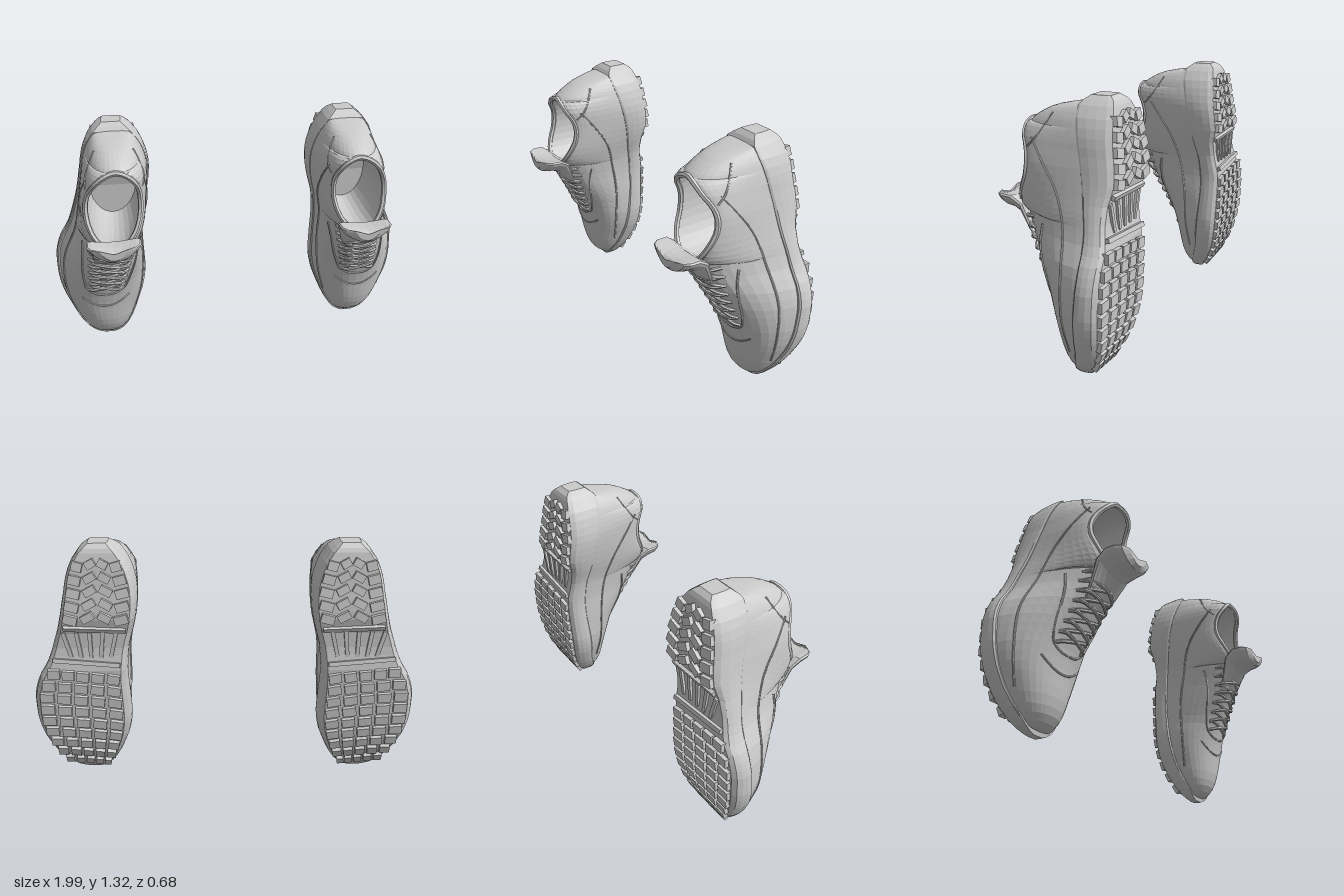
import * as THREE from 'three';
import { mergeGeometries } from 'three/addons/utils/BufferGeometryUtils.js';

const mat = new THREE.MeshStandardMaterial({ color: 0xcccccc, flatShading: true });
const thinMat = new THREE.MeshStandardMaterial({ color: 0xcccccc, flatShading: true, side: THREE.DoubleSide });
const V = (x, y, z) => new THREE.Vector3(x, y, z);
const lerp = THREE.MathUtils.lerp;

// Smooth, non-overshooting interpolation through [key, value] pairs
function table(...p) {
  const d = p.slice(1).map((q, i) => (q[1] - p[i][1]) / (q[0] - p[i][0]));
  const m = p.map((_, i) => {
    const a = d[Math.max(i - 1, 0)], b = d[Math.min(i, d.length - 1)];
    return a * b <= 0 ? 0 : (2 * a * b) / (a + b);
  });
  return (y) => {
    if (y <= p[0][0]) return p[0][1];
    let i = 0;
    while (i < d.length - 1 && y > p[i + 1][0]) i++;
    const h = p[i + 1][0] - p[i][0], t = Math.min((y - p[i][0]) / h, 1), u = 1 - t;
    return p[i][1] * (1 + 2 * t) * u * u + m[i] * h * t * u * u
      + p[i + 1][1] * t * t * (3 - 2 * t) - m[i + 1] * h * t * t * u;
  };
}

// Skin through rings of points
function loft(rings, closed = true, capStart = closed, capEnd = closed) {
  const n = rings[0].length, pos = rings.flat(), idx = [], m = closed ? n : n - 1;
  for (let i = 0; i < rings.length - 1; i++) for (let j = 0; j < m; j++) {
    const a = i * n + j, b = i * n + (j + 1) % n;
    idx.push(a, a + n, b, b, a + n, b + n);
  }
  const cap = (start, flip) => {
    const c = V(0, 0, 0);
    for (let j = 0; j < n; j++) c.addScaledVector(pos[start + j], 1 / n);
    const k = pos.push(c) - 1;
    for (let j = 0; j < n; j++) {
      const a = start + j, b = start + (j + 1) % n;
      idx.push(k, flip ? b : a, flip ? a : b);
    }
  };
  if (capStart) cap(0, false);
  if (capEnd) cap((rings.length - 1) * n, true);
  const g = new THREE.BufferGeometry().setFromPoints(pos);
  g.setIndex(idx);
  g.computeVertexNormals();
  return g;
}

const tube = (pts, r, closed = false, seg = 24) =>
  new THREE.TubeGeometry(new THREE.CatmullRomCurve3(pts, closed), seg, r, 6, closed);

// Shoe stands on its toe: length along y, underside at -z
const soleX = table([0, .73], [.1, .738], [.3, .743], [.5, .745], [.6, .735], [.7, .705], [.8, .68], [.9, .65], [1, .63], [1.1, .62], [1.32, .62]);
const soleW = table([0, .03], [.012, .06], [.03, .09], [.1, .15], [.2, .2], [.3, .237], [.4, .252], [.5, .25], [.6, .235], [.7, .207], [.8, .195], [.9, .193], [1, .19], [1.1, .18], [1.2, .152], [1.28, .1], [1.32, .05]);
const soleBase = table([0, -.18], [.03, -.205], [.1, -.245], [.2, -.285], [.3, -.305], [.4, -.315], [.68, -.322], [.72, -.312], [.8, -.3], [.89, -.3], [.93, -.318], [1, -.315], [1.1, -.3], [1.25, -.28], [1.3, -.26], [1.32, -.235]);
const soleTop = table([0, -.14], [.04, -.135], [.1, -.15], [.2, -.18], [.4, -.205], [.6, -.22], [.75, -.21], [.85, -.19], [1, -.16], [1.15, -.125], [1.28, -.1], [1.32, -.14]);
const topX = table([0, .73], [.2, .735], [.4, .72], [.6, .68], [.8, .647], [1, .637], [1.2, .612], [1.32, .615]);
const topZ = table([.012, -.18], [.03, -.11], [.08, -.065], [.15, -.04], [.29, -.015], [.4, .015], [.5, .06], [.6, .115], [.7, .17], [.79, .205], [.87, .182], [.94, .152], [1, .142], [1.06, .152], [1.13, .19], [1.17, .2], [1.19, .185], [1.22, .14], [1.245, .09], [1.265, .02], [1.28, -.08], [1.29, -.16]);
const mouthY = .975, mouthH = .205, mouthW = .138;
const mouth = (y) => mouthW * Math.sqrt(Math.max(0, 1 - ((y - mouthY) / mouthH) ** 2));

// Point on the upper: angle a runs from the sole edge (0) to the top or rim (PI/2)
const P = 2 / 2.2;
const upperW = (y) => soleW(y) * .96 - .004;
const lowZ = (y) => Math.min(soleTop(y) - .04, topZ(y));
function upperPoint(y, a, side, lift = 0) {
  const r = mouth(y), c = Math.max(0, Math.cos(a)) ** P, s = Math.sin(a) ** P;
  const x = r + (upperW(y) - r) * c;
  return V(lerp(soleX(y), topX(y), s) + side * (x + lift * c), y, lerp(lowZ(y), topZ(y), s) + lift * s);
}
const atHeight = (y, z, side) => upperPoint(y, Math.asin(
  THREE.MathUtils.clamp((z - lowZ(y)) / (topZ(y) - lowZ(y)), 0, 1) ** (1 / P)), side, .001);
const atOffset = (y, x, lift) => upperPoint(y, Math.acos(Math.min(1, Math.abs(x) / upperW(y)) ** (1 / P)), Math.sign(x) || 1, lift);

function createShoe() {
  const shoe = new THREE.Group();
  const add = (name, geo, material = mat) => {
    const mesh = new THREE.Mesh(geo, material);
    mesh.name = name;
    shoe.add(mesh);
  };

  // Midsole with a rolled lower edge and a ledge under the upper
  const soleYs = [0, .012, .03, .06, .1];
  for (let y = .15; y < 1.27; y += .04) soleYs.push(y);
  soleYs.push(1.28, 1.3, 1.32);
  const half = [[.6, 0], [.86, 0], [.95, .16], [.99, .42], [1, .68], [.985, .93], [.95, 1], [.5, 1]];
  add('midsole', loft(soleYs.map((y) => {
    const pt = (s) => ([w, f]) => V(soleX(y) + s * w * soleW(y), y, lerp(soleBase(y), soleTop(y), f));
    return [...half.map(pt(1)), ...half.map(pt(-1)).reverse()];
  })));

  // Upper in two halves that part at the mouth
  const ys = [.012, .02, .03, .05, .08, .115];
  for (let y = .16; y < .76; y += .045) ys.push(y);
  for (let i = 0; i <= 16; i++) ys.push(mouthY - mouthH * Math.cos(i / 16 * Math.PI));
  ys.push(1.195, 1.21, 1.225, 1.245, 1.258, 1.27, 1.28, 1.29);
  for (const side of [1, -1]) {
    add(side > 0 ? 'upperOuterHalf' : 'upperInnerHalf', loft(ys.map((y) => {
      const row = Array.from({ length: 11 }, (_, i) => upperPoint(y, i / 10 * Math.PI / 2, side));
      return side > 0 ? row : row.reverse();
    }), false), thinMat);
  }

  // Padded collar and the lining down to the insole
  const rim = (t, s = 1, f = 0) => {
    const y = mouthY + mouthH * Math.cos(t);
    return V(topX(y) + mouthW * Math.sin(t) * s, mouthY + (y - mouthY) * s, lerp(topZ(y), -.17, f));
  };
  const turn = Array.from({ length: 32 }, (_, i) => i / 32 * Math.PI * 2);
  add('collar', tube(turn.map((t) => rim(t)), .014, true, 64));
  add('lining', loft(Array.from({ length: 7 }, (_, k) =>
    turn.map((t) => rim(t, .97 + .1 * Math.sin(k / 6 * Math.PI) - .06 * k / 6, k / 6))), true, false, true), thinMat);

  // Tongue: y, z, half width, half thickness along its path
  const path = [[.58, .08, .06, .015], [.68, .145, .1, .025], [.75, .19, .125, .038], [.782, .24, .137, .042],
    [.785, .29, .135, .036], [.785, .318, .115, .03], [.787, .335, .07, .014]];
  add('tongue', loft(path.map(([y, z, w, th], i) => {
    const a = path[Math.max(i - 1, 0)], b = path[Math.min(i + 1, path.length - 1)];
    const t = new THREE.Vector2(b[0] - a[0], b[1] - a[1]).normalize();
    return Array.from({ length: 20 }, (_, j) => {
      const c = Math.cos(j / 10 * Math.PI), s = Math.sin(j / 10 * Math.PI) * th;
      return V(topX(y) + w * c, y - t.y * s + (i > 1 ? .045 * c * c : 0), z + t.x * s);
    });
  })));

  // Criss-cross laces
  const laces = [];
  for (let k = 0; k < 7; k++) {
    const y = .4 + k * .05, w = .085 + k * .004;
    for (const s of [1, -1]) {
      laces.push(tube([-1.1, -.8, -.4, .01, .4, .8, 1.1].map((u) =>
        atOffset(y + .025 + s * u * .024, u * w, Math.abs(u) > 1 ? -.004 : .014 + s * .003)), .009, false, 14));
    }
  }
  add('laces', mergeGeometries(laces));

  // Eyestay edges, toe seam and side seams
  const seams = [];
  for (const s of [1, -1]) {
    seams.push(tube([[1.12, .12], [1.02, .04], [.9, -.04], [.75, -.09], [.55, -.12], [.35, -.125], [.18, -.14]]
      .map(([y, z]) => atHeight(y, z, s)), .005, false, 40));
    seams.push(tube([[.74, .15], [.66, .145], [.58, .14], [.48, .125], [.4, .1], [.365, .05], [.36, .005]]
      .map(([y, x]) => atOffset(y, s * x, .001)), .006, false, 30));
    seams.push(tube([[1.235, .03], [1.18, .06], [1.12, .1], [1.08, .14]].map(([y, z]) => atHeight(y, z, s)), .005));
  }
  seams.push(tube([-1, -.7, -.35, .01, .35, .7, 1].map((u) => atOffset(.27 + .06 * u * u, u * .13, .001)), .005));
  add('seams', mergeGeometries(seams));

  // Outsole lugs
  const lugs = [];
  const lug = (u, y, w, h, turnZ = 0, d = .04) => {
    const g = new THREE.BoxGeometry(w, h, d);
    const slope = (soleBase(y + .02) - soleBase(y - .02)) / .04;
    g.rotateZ(turnZ).rotateX(Math.atan(slope));
    lugs.push(g.translate(soleX(y) + u * soleW(y), y, soleBase(y)));
  };
  for (let r = 0; r < 9; r++) for (let c = -2; c <= 2; c++) {
    const y = .09 + r * .069 + c * .008;
    lug(c * .35, y, soleW(y) * .28, .05, .1 - c * .04);
  }
  for (let r = 0; r < 5; r++) {
    const y = .955 + r * .066;
    for (const s of [1, -1]) {
      lug(s * .66, y, soleW(y) * .36, .046, s * .25);
      lug(s * .22, y + .012, soleW(y) * .34, .04, s * -.5);
    }
  }
  // Arch ribs and the bars that bound them
  for (let c = -2; c <= 2; c++) lug(c * .3, .81, .02, .14, c * -.12, .025);
  lug(0, .715, .34, .022, .08);
  lug(0, .9, .31, .022, .05);
  add('outsoleLugs', mergeGeometries(lugs));
  return shoe;
}

export function createModel() {
  const model = new THREE.Group();
  const left = createShoe();
  left.name = 'leftShoe';
  const right = left.clone();
  right.name = 'rightShoe';
  right.scale.x = -1;
  model.add(left, right);
  return model;
}
